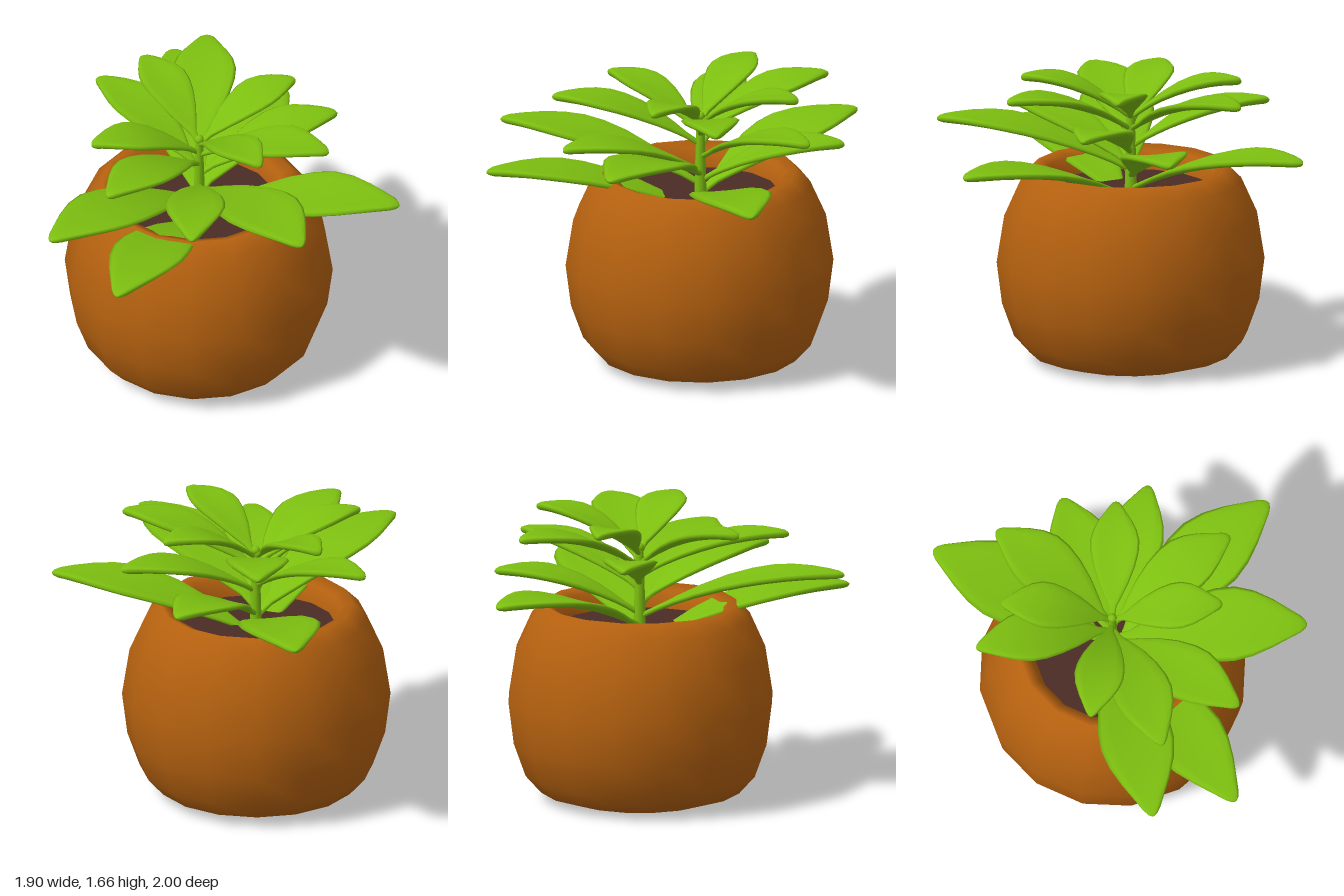
import * as THREE from 'three';

const CX = -0.155, CZ = -0.18; // axis of the pot and stem

const terracotta = new THREE.MeshStandardMaterial({ color: 0xb5610f });
terracotta.name = 'terracotta';
const leafGreen = new THREE.MeshStandardMaterial({ color: 0x7dbf10 });
leafGreen.name = 'leaf green';
const soilBrown = new THREE.MeshStandardMaterial({ color: 0x4a2c24 });
soilBrown.name = 'soil brown';

// Leaf tips [x, y, z] and full width, lowest tier first
const LEAVES = [
  [0.94, 1.235, -0.61, 0.45], [0.875, 1.395, 0.21, 0.45],
  [0.16, 1.185, 1.0, 0.42], [-0.33, 1.345, 0.98, 0.42],
  [-0.945, 1.285, -0.97, 0.46], [-0.16, 1.325, -1.0, 0.38],
  [-0.945, 1.495, -0.26, 0.31], [0.31, 1.465, -0.855, 0.33],
  [0.345, 1.39, 0.54, 0.34], [-0.61, 1.60, -0.85, 0.36],
  [0.62, 1.60, -0.37, 0.33], [-0.16, 1.545, 0.665, 0.34],
  [-0.49, 1.60, 0.385, 0.28], [-0.74, 1.65, -0.41, 0.28],
  [0.08, 1.65, -0.765, 0.28], [0.435, 1.65, 0.02, 0.28],
];

// Outline: [distance along leaf, share of half width, share of thickness]
const OUTLINE = [
  [0, 0.1, 0.7], [0.08, 0.15, 0.7], [0.16, 0.36, 0.75], [0.27, 0.62, 0.85],
  [0.4, 0.85, 1], [0.52, 0.98, 1], [0.62, 1, 1], [0.72, 0.88, 1],
  [0.82, 0.65, 1], [0.91, 0.39, 1], [0.965, 0.23, 0.9], [0.99, 0.12, 0.6], [1, 0.03, 0.2],
];

// Puffy arched leaf swept from cross-sections, from the stem to its tip
function leafGeometry([tx, ty, tz, width]) {
  const SIDES = 14, THICK = 0.024;
  const dx = tx - CX, dz = tz - CZ, length = Math.hypot(dx, dz);
  const ux = dx / length, uz = dz / length;
  const drop = 0.16 + 0.11 * length;
  const pos = [], index = [];
  for (const [t, w, h] of OUTLINE) {
    const d = 0.015 + t * (length - 0.015);
    const y = ty - drop * Math.pow(1 - t, 2.1) - 0.015 * t * t * t;
    for (let j = 0; j < SIDES; j++) {
      const a = (j / SIDES) * Math.PI * 2, c = Math.cos(a), s = Math.sin(a);
      const side = c * w * width / 2;
      const up = Math.sign(s) * Math.pow(Math.abs(s), 0.6) * THICK * h;
      const cup = 0.022 * c * c * w;
      pos.push(CX + ux * d - uz * side, y + up + cup, CZ + uz * d + ux * side);
    }
  }
  const rows = OUTLINE.length;
  for (let i = 0; i < rows - 1; i++) {
    for (let j = 0; j < SIDES; j++) {
      const a = i * SIDES + j, b = i * SIDES + (j + 1) % SIDES;
      index.push(a, a + SIDES, b, b, a + SIDES, b + SIDES);
    }
  }
  // close both ends
  const last = (rows - 1) * SIDES;
  for (let j = 1; j < SIDES - 1; j++) {
    index.push(0, j, j + 1, last, last + j + 1, last + j);
  }
  const g = new THREE.BufferGeometry();
  g.setAttribute('position', new THREE.Float32BufferAttribute(pos, 3));
  g.setIndex(index);
  // make the winding face outward
  const p = g.attributes.position, v = [0, 1, 2].map(() => new THREE.Vector3());
  let volume = 0;
  for (let i = 0; i < index.length; i += 3) {
    v.forEach((q, k) => q.fromBufferAttribute(p, index[i + k]));
    volume += v[0].dot(v[1].clone().cross(v[2]));
  }
  if (volume < 0) {
    for (let i = 0; i < index.length; i += 3) [index[i + 1], index[i + 2]] = [index[i + 2], index[i + 1]];
    g.setIndex(index);
  }
  g.computeVertexNormals();
  return g;
}

export function createModel() {
  const model = new THREE.Group();
  model.name = 'pottedSucculent';
  const add = (name, geometry, material, x = 0, y = 0, z = 0) => {
    const mesh = new THREE.Mesh(geometry, material);
    mesh.name = name;
    mesh.position.set(x, y, z);
    model.add(mesh);
    return mesh;
  };

  // Round sixteen-sided pot with a lip turning inward
  const k = 1 / Math.cos(Math.PI / 16);
  const profile = [
    [0, 0], [0.4, 0], [0.56, 0.05], [0.648, 0.15], [0.715, 0.34], [0.745, 0.58],
    [0.703, 0.85], [0.615, 1.05], [0.535, 1.13], [0.47, 1.1], [0.44, 1.0], [0.44, 0.95],
  ].map(([r, y]) => new THREE.Vector2(r * k, y));
  add('pot', new THREE.LatheGeometry(profile, 16, Math.PI / 16), terracotta, CX, 0, -0.175);

  // Soil
  const soil = new THREE.CircleGeometry(0.46, 16, Math.PI / 16);
  soil.rotateX(-Math.PI / 2);
  add('soil', soil, soilBrown, CX, 1.0, -0.175);

  // Stem and the small bud on top
  add('stem', new THREE.CylinderGeometry(0.022, 0.036, 0.48, 10), leafGreen, CX, 1.2, CZ);
  add('bud', new THREE.SphereGeometry(0.026, 12, 8), leafGreen, CX, 1.45, CZ);

  // Leaves
  const leaves = new THREE.Group();
  leaves.name = 'leaves';
  LEAVES.forEach((spec, i) => {
    const leaf = new THREE.Mesh(leafGeometry(spec), leafGreen);
    leaf.name = `leaf${i + 1}`;
    leaves.add(leaf);
  });
  model.add(leaves);
  return model;
}
